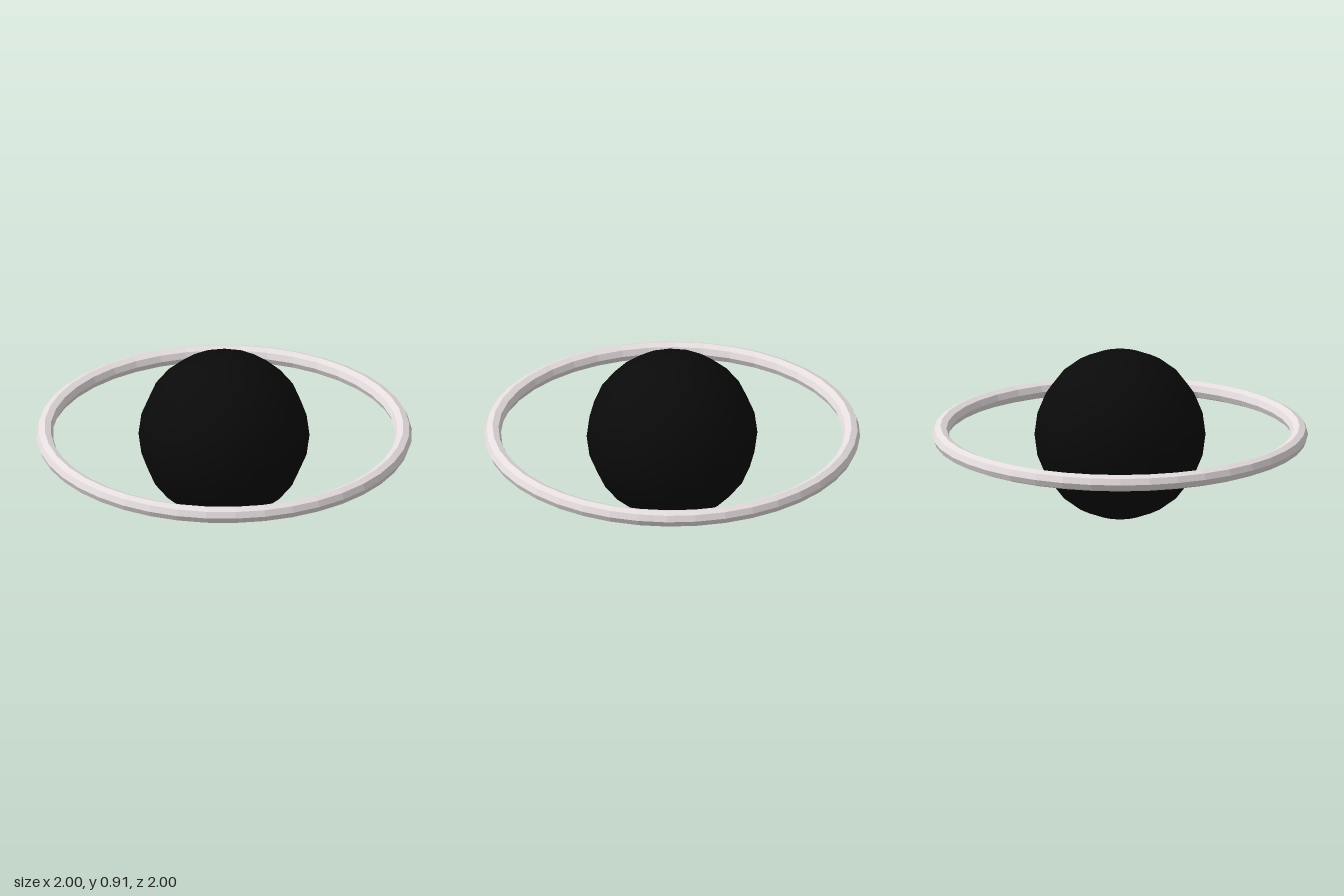
import * as THREE from 'three';

const RADIUS = 0.4545;      // sphere radius, also the height of its centre
const RING_RADIUS = 0.9545; // to the centre of the ring's tube
const RING_TUBE = 0.0455;

export function createModel() {
  const group = new THREE.Group();
  group.name = 'ringedSphere';

  // Dark central sphere
  const sphere = new THREE.Mesh(
    new THREE.SphereGeometry(RADIUS, 16, 12),
    new THREE.MeshStandardMaterial({ color: 0x0a0a0a })
  );
  sphere.name = 'sphere';
  sphere.position.y = RADIUS;
  group.add(sphere);

  // Pale octagonal ring lying level around the sphere
  const ring = new THREE.Mesh(
    new THREE.TorusGeometry(RING_RADIUS, RING_TUBE, 8, 40).rotateX(-Math.PI / 2),
    new THREE.MeshStandardMaterial({ color: 0xe6dede, flatShading: true })
  );
  ring.name = 'ring';
  ring.position.y = RADIUS;
  group.add(ring);

  return group;
}
